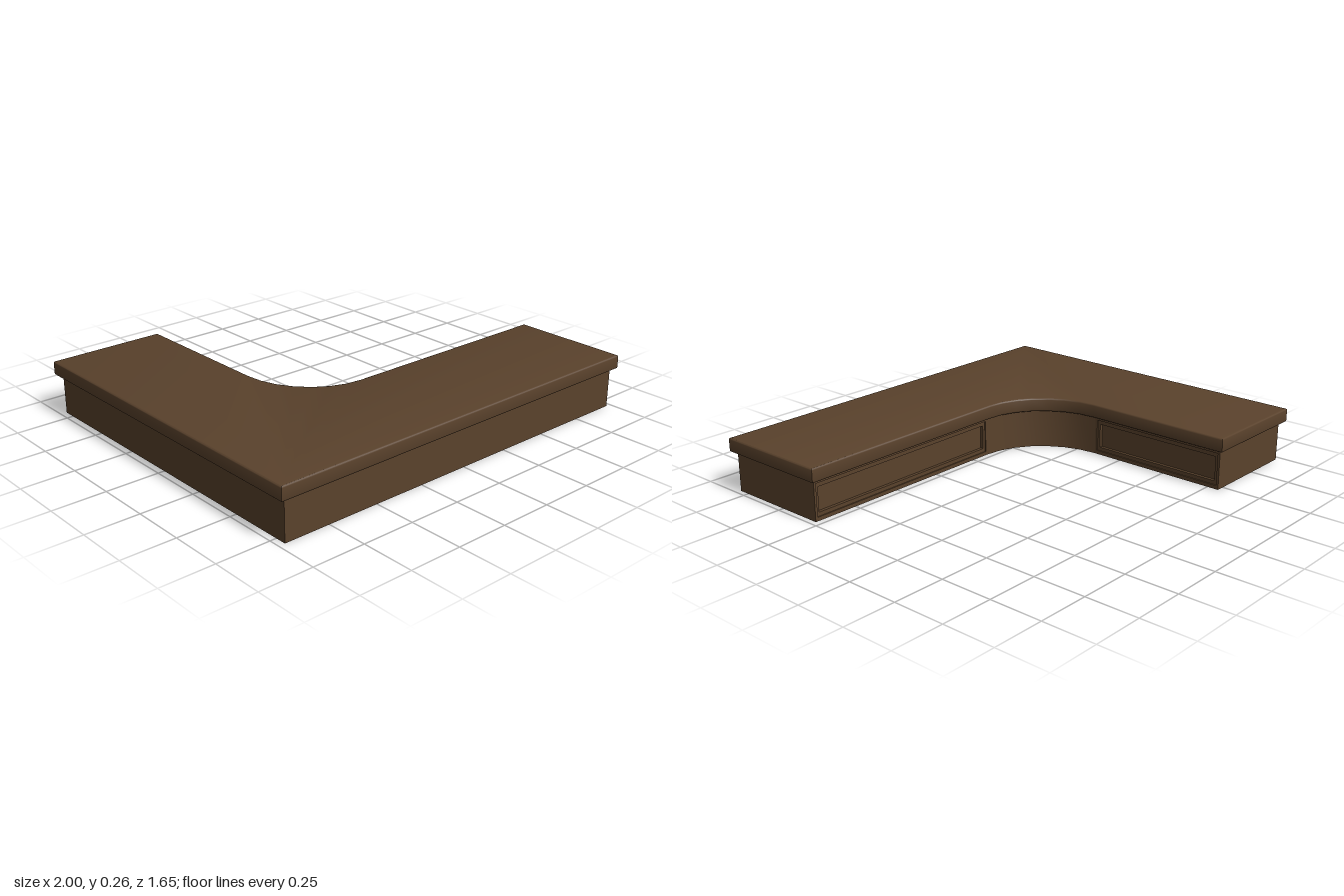
import * as THREE from 'three';
import { toCreasedNormals } from 'three/addons/utils/BufferGeometryUtils.js';

const RECESS = 0.022;

// L-shaped plan outline; the inner corner is a quarter ellipse, and the
// straight inner sides can be set back by `notch` to take a panel frame.
function planShape(o, notch = 0) {
  const pts = [[o.x0, o.z1], [o.x1, o.z1], [o.x1, o.zi + notch]];
  const cx = o.xi + o.rx, cz = o.zi - o.rz, steps = 7;
  if (notch) pts.push([cx, o.zi + notch]);
  for (let i = 0; i <= steps; i++) {
    const a = (i / steps) * Math.PI / 2;
    pts.push([cx - o.rx * Math.sin(a), cz + o.rz * Math.cos(a)]);
  }
  if (notch) pts.push([o.xi - notch, cz]);
  pts.push([o.xi - notch, o.z0], [o.x0, o.z0]);
  return new THREE.Shape(pts.map(([x, z]) => new THREE.Vector2(x, -z)));
}

// Stands a plan shape up between two heights
function slab(shape, y0, y1, bevel = 0) {
  const geo = new THREE.ExtrudeGeometry(shape, {
    depth: y1 - y0 - 2 * bevel, bevelEnabled: bevel > 0, bevelThickness: bevel,
    bevelSize: bevel, bevelOffset: -bevel, bevelSegments: 3,
  });
  geo.rotateX(-Math.PI / 2).translate(0, y0 + bevel, 0);
  return toCreasedNormals(geo, 0.6);
}

// Flat rectangular ring, its back at z and reaching forward by depth
function ring(w, y0, y1, border, holeY0, holeY1, z, depth) {
  const rect = (Type, a, b, c, d) => new Type([[a, c], [b, c], [b, d], [a, d]]
    .map(([x, y]) => new THREE.Vector2(x, y)));
  const shape = rect(THREE.Shape, -w / 2, w / 2, y0, y1);
  shape.holes.push(rect(THREE.Path, -w / 2 + border, w / 2 - border, holeY0, holeY1));
  return new THREE.ExtrudeGeometry(shape, { depth, bevelEnabled: false }).translate(0, 0, z);
}

export function createModel() {
  const wood = new THREE.MeshStandardMaterial({ color: 0x5a422c });
  wood.name = 'dark brown wood';
  const model = new THREE.Group();
  model.name = 'cornerCounter';

  const add = (parent, name, geometry) => {
    const mesh = new THREE.Mesh(geometry, wood);
    mesh.name = name;
    parent.add(mesh);
  };

  // Countertop with softened edges
  const top = { x0: -1, x1: 1, z0: -0.83, z1: 0.825, xi: -0.437, zi: 0.255, rx: 0.34, rz: 0.36 };
  add(model, 'countertop', slab(planShape(top), 0.19, 0.257, 0.008));

  // Base, set back where the panels sit
  const base = { x0: -0.97, x1: 0.975, z0: -0.807, z1: 0.802, xi: -0.46, zi: 0.28, rx: 0.36, rz: 0.38 };
  add(model, 'base', slab(planShape(base, RECESS), 0, 0.19));

  // Stepped frames around the two recessed inner panels
  const addPanel = (name, length, x, z, angle) => {
    const panel = new THREE.Group();
    panel.name = name;
    add(panel, 'outerFrame', ring(length, 0, 0.19, 0.012, 0.018, 0.173, -RECESS, RECESS));
    add(panel, 'innerFrame', ring(length - 0.024, 0.018, 0.173, 0.014, 0.036, 0.153, -RECESS, RECESS - 0.006));
    panel.position.set(x, 0, z);
    panel.rotation.y = angle;
    model.add(panel);
  };
  const arcX = base.xi + base.rx, arcZ = base.zi - base.rz;
  addPanel('longArmPanel', base.x1 - arcX, (base.x1 + arcX) / 2, base.zi, Math.PI);
  addPanel('shortArmPanel', arcZ - base.z0, base.xi, (base.z0 + arcZ) / 2, Math.PI / 2);

  return model;
}
